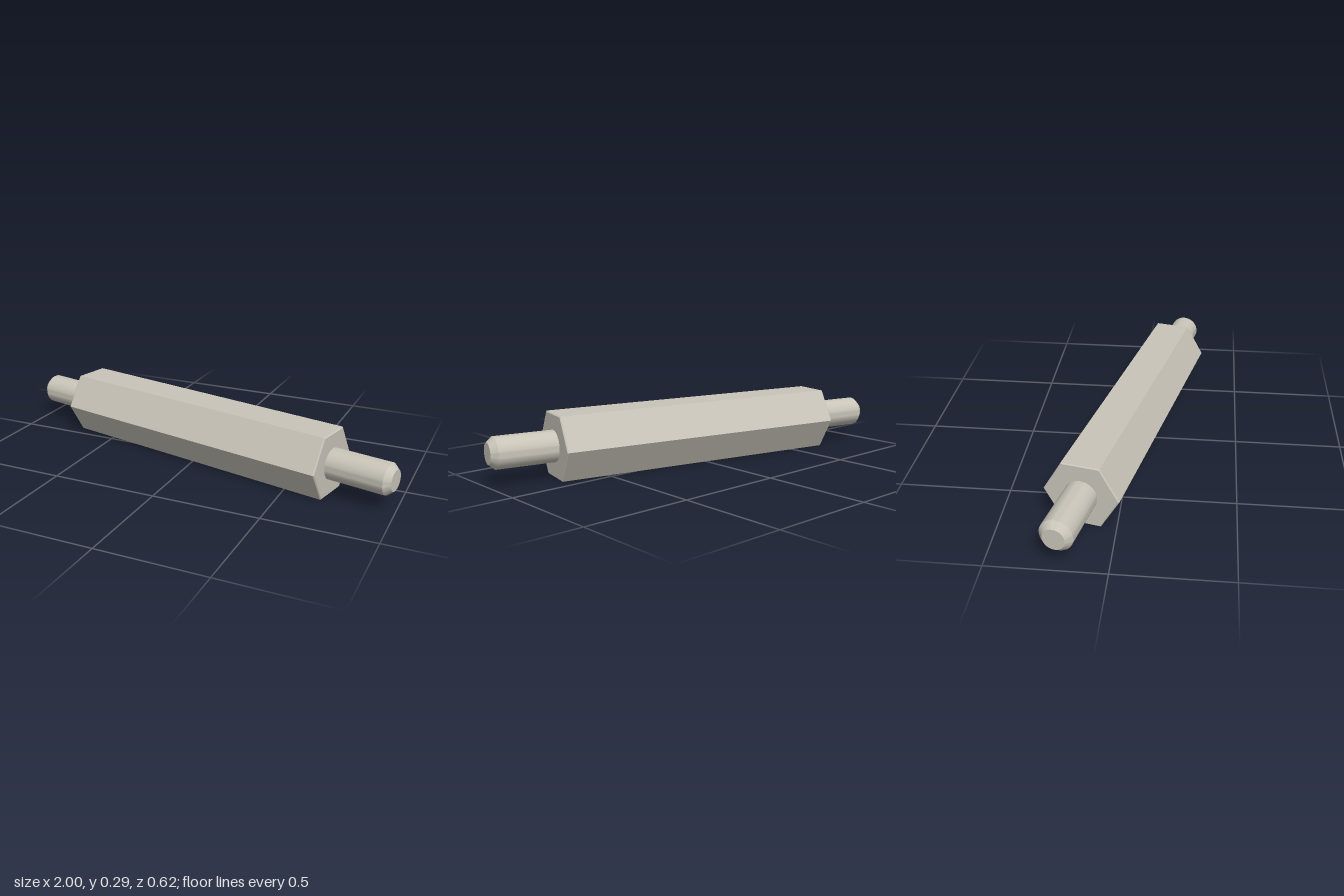
import * as THREE from 'three';
import { toCreasedNormals } from 'three/addons/utils/BufferGeometryUtils.js';

// Solid bar along x, chamfered at both ends
function chamferedBar(halfLength, radius, chamferLength, tipRadius, sides) {
  const half = halfLength - chamferLength;
  const profile = [
    [0, -halfLength], [tipRadius, -halfLength], [radius, -half],
    [radius, half], [tipRadius, halfLength], [0, halfLength],
  ].map(([r, y]) => new THREE.Vector2(r, y));
  const geometry = new THREE.LatheGeometry(profile, sides);
  geometry.rotateZ(-Math.PI / 2);
  return toCreasedNormals(geometry, 0.4);
}

export function createModel() {
  const metal = new THREE.MeshStandardMaterial({ color: 0xc8c4b8 });
  metal.name = 'warm grey metal';

  const standoff = new THREE.Group();
  standoff.name = 'hexStandoff';

  // Hexagonal body with flats on top and bottom
  const body = new THREE.Mesh(chamferedBar(0.716, 0.167, 0.005, 0.162, 6), metal);
  body.name = 'hexBody';

  // Round rod through the body, forming the stud at each end
  const stud = new THREE.Mesh(chamferedBar(1.012, 0.072, 0.028, 0.048, 48), metal);
  stud.name = 'endStuds';

  standoff.add(body, stud);
  standoff.position.y = 0.145;
  standoff.rotation.y = -0.211;

  const model = new THREE.Group();
  model.name = 'standoffModel';
  model.add(standoff);
  return model;
}
